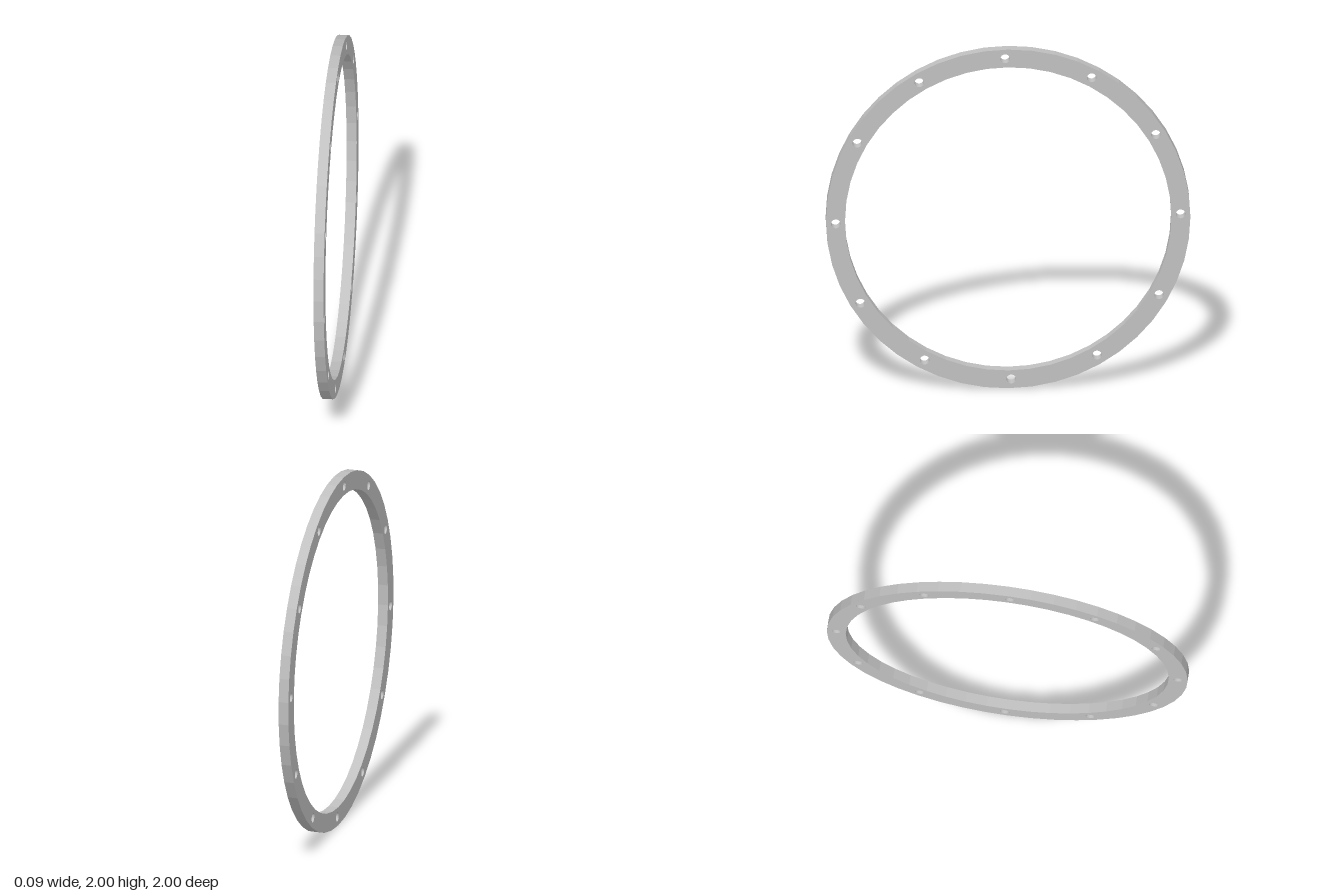
import * as THREE from 'three';

export function createModel() {
  const group = new THREE.Group();
  const grey = new THREE.MeshStandardMaterial({ color: 0xc0c0c0 });
  grey.name = 'plain grey';

  const thickness = 0.056, tilt = 0.016, holeCount = 12;

  // Flat annulus outline
  const outline = new THREE.Shape();
  outline.absarc(0, 0, 1, 0, Math.PI * 2, false);
  const bore = new THREE.Path();
  bore.absarc(0, 0, 0.895, 0, Math.PI * 2, true);
  outline.holes.push(bore);

  // Evenly spaced bolt holes, turned one degree off the axes
  for (let i = 0; i < holeCount; i++) {
    const a = (i / holeCount) * Math.PI * 2 + Math.PI / 180;
    const hole = new THREE.Path();
    hole.absarc(0.946 * Math.cos(a), 0.946 * Math.sin(a), 0.026, 0, Math.PI * 2, true);
    outline.holes.push(hole);
  }

  // Extruded ring, stood upright facing +x
  const geometry = new THREE.ExtrudeGeometry(outline, {
    depth: thickness, bevelEnabled: false, curveSegments: 24,
  });
  geometry.translate(0, 0, -thickness / 2);
  geometry.rotateY(Math.PI / 2);

  // Slight lean of the whole ring towards -x
  const ring = new THREE.Mesh(geometry, grey);
  ring.name = 'flangeRing';
  ring.rotation.z = tilt;
  ring.position.y = 1;
  group.add(ring);
  return group;
}
